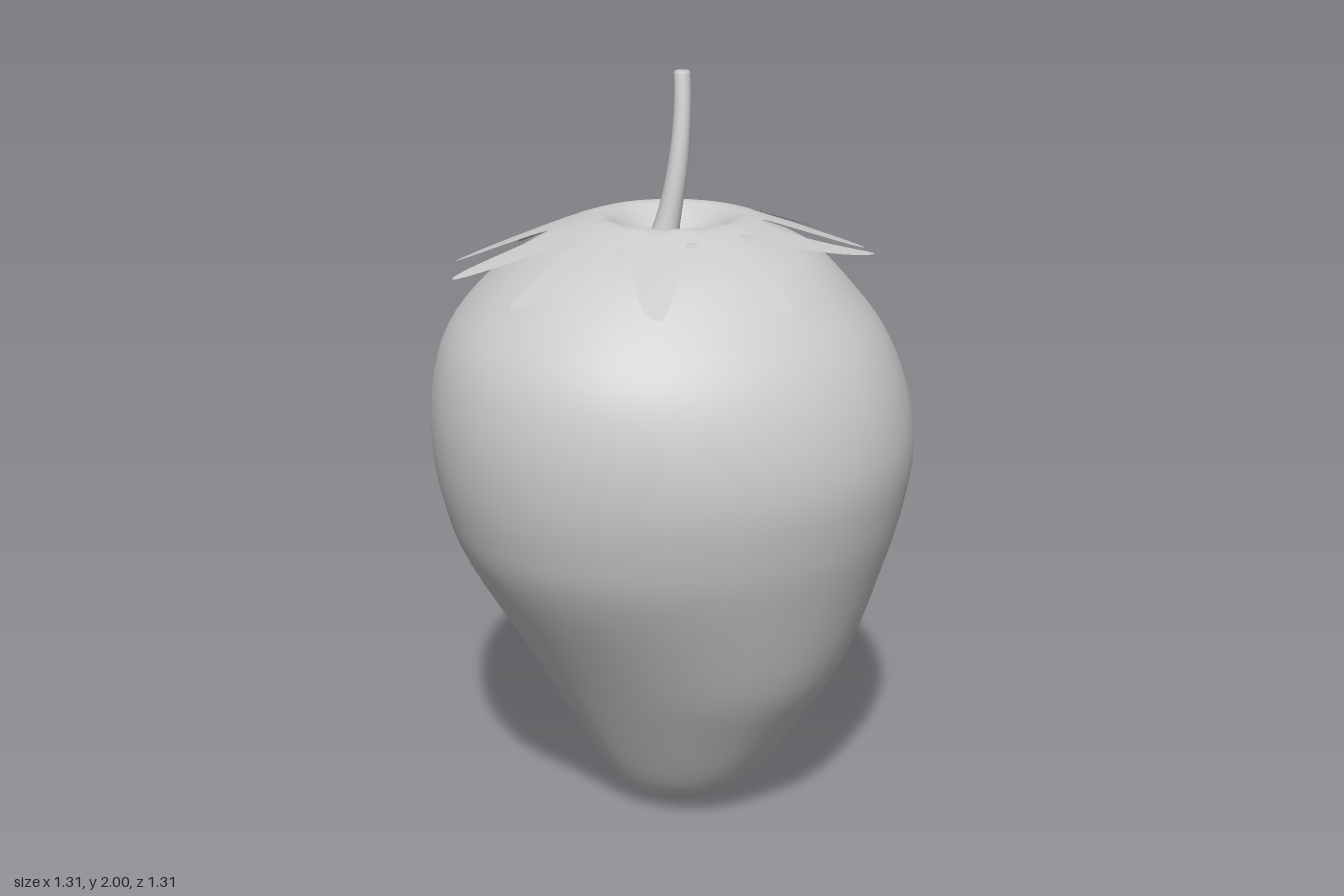
import * as THREE from 'three';
import { mergeVertices } from 'three/addons/utils/BufferGeometryUtils.js';

const material = new THREE.MeshStandardMaterial({ color: 0xcccccc });
const leafMaterial = new THREE.MeshStandardMaterial({ color: 0xcccccc, side: THREE.DoubleSide });
const { lerp, smoothstep, clamp } = THREE.MathUtils;

// Recompute smooth normals without a seam
function smooth(geometry) {
  geometry.deleteAttribute('uv');
  geometry.deleteAttribute('normal');
  const merged = mergeVertices(geometry, 1e-5);
  merged.computeVertexNormals();
  return merged;
}

function latheFrom(points, samples, segments) {
  const curve = new THREE.SplineCurve(points.map(([r, y]) => new THREE.Vector2(r, y)));
  const profile = curve.getPoints(samples);
  profile.forEach((p) => { p.x = Math.max(0, p.x); });
  return new THREE.LatheGeometry(profile, segments);
}

// Fruit: straight flank towards front right, fuller flank towards back left
function fruitGeometry() {
  // height, straight radius, full radius
  const rows = [
    [0, 0, 0], [0.01, 0.075, 0.08], [0.04, 0.135, 0.16], [0.12, 0.2, 0.26],
    [0.3, 0.305, 0.39], [0.48, 0.41, 0.5], [0.75, 0.575, 0.595], [0.9, 0.63, 0.637],
    [1.05, 0.655, 0.658], [1.2, 0.65, 0.635], [1.34, 0.607, 0.575], [1.46, 0.51, 0.48],
    [1.55, 0.39, 0.385], [1.595, 0.27, 0.27], [1.605, 0.2, 0.2], [1.58, 0.13, 0.13],
    [1.54, 0.05, 0.05], [1.53, 0, 0],
  ];
  const geometry = latheFrom(rows.map(([y, a]) => [a, y]), 68, 64);
  const full = latheFrom(rows.map(([y, , b]) => [b, y]), 68, 64).attributes.position;
  const pos = geometry.attributes.position;
  for (let i = 0; i < pos.count; i++) {
    const angle = Math.atan2(full.getX(i), full.getZ(i));
    const w = smoothstep(clamp(0.5 + 0.7 * Math.cos(angle - 0.75 * Math.PI), 0, 1), 0, 1);
    // slightly squared-in diagonals
    const k = 1 - 0.03 * Math.sin(2 * angle) ** 2;
    pos.setXYZ(i,
      lerp(pos.getX(i), full.getX(i), w) * k,
      lerp(pos.getY(i), full.getY(i), w),
      lerp(pos.getZ(i), full.getZ(i), w) * k);
  }
  return smooth(geometry);
}

// Leafy crown: one star-shaped sheet with a central dimple
function crownHeight(r) {
  const d = Math.max(0, r - 0.19);
  return 1.64 - 0.37 * d * d / (d + 0.03) - 0.085 * (1 - smoothstep(r, 0.04, 0.19));
}

function crownGeometry() {
  // leaf tip x, y, z and the notch x, z that follows it
  const leaves = [
    [0, 1.5, 0.6, 0.08, 0.285], [0.35, 1.505, 0.465, 0.2, 0.17],
    [0.525, 1.5, 0.18, 0.25, 0.025], [0.53, 1.585, -0.155, 0.2, -0.12],
    [0.33, 1.53, -0.4, 0.09, -0.22], [0.085, 1.53, -0.525, -0.035, -0.24],
    [-0.19, 1.52, -0.51, -0.17, -0.19], [-0.435, 1.55, -0.325, -0.275, -0.07],
    [-0.575, 1.48, -0.03, -0.295, 0.09], [-0.51, 1.49, 0.285, -0.22, 0.23],
    [-0.26, 1.525, 0.54, -0.07, 0.29],
  ];
  const polar = (x, z) => ({ a: (Math.atan2(x, z) + 2 * Math.PI) % (2 * Math.PI), r: Math.hypot(x, z) });
  const columns = [];
  const steps = 14;
  // rim columns from a leaf tip to a neighbouring notch
  function addSide(tip, notch, tipY, outward) {
    let da = notch.a - tip.a;
    if (da > Math.PI) da -= 2 * Math.PI;
    if (da < -Math.PI) da += 2 * Math.PI;
    const lift = tipY - crownHeight(tip.r);
    for (let i = 0; i < steps; i++) {
      const u = outward ? i / steps : 1 - i / steps;
      const s = smoothstep((1 - u) ** 1.36, 0, 1);
      columns.push({ a: tip.a + da * u, r: lerp(notch.r, tip.r, s), lift, tipR: tip.r });
    }
  }
  leaves.forEach(([x, y, z, nx, nz], i) => {
    const previous = leaves[(i + leaves.length - 1) % leaves.length];
    const tip = polar(x, z);
    addSide(tip, polar(previous[3], previous[4]), y, false);
    addSide(tip, polar(nx, nz), y, true);
  });

  const rings = 22;
  const positions = [];
  const index = [];
  const n = columns.length;
  for (let j = 0; j <= rings; j++) {
    for (const c of columns) {
      const r = c.r * j / rings;
      const bend = Math.max(0, (r - 0.27) / (c.tipR - 0.27)) ** 1.5;
      positions.push(r * Math.sin(c.a), crownHeight(r) + c.lift * bend, r * Math.cos(c.a));
    }
  }
  for (let j = 0; j < rings; j++) {
    for (let i = 0; i < n; i++) {
      const a = j * n + i, b = j * n + (i + 1) % n;
      if (j > 0) index.push(a, b + n, b);
      index.push(a, a + n, b + n);
    }
  }
  const geometry = new THREE.BufferGeometry();
  geometry.setAttribute('position', new THREE.Float32BufferAttribute(positions, 3));
  geometry.setIndex(index);
  return smooth(geometry);
}

// Stem: flared, tapering and leaning back
function stemGeometry() {
  const geometry = latheFrom([
    [0.065, 1.54], [0.042, 1.58], [0.032, 1.64], [0.027, 1.75], [0.023, 1.88], [0.022, 1.995],
  ], 24, 14);
  bendStem(geometry);
  return smooth(geometry);
}

function bendStem(geometry) {
  const pos = geometry.attributes.position;
  for (let i = 0; i < pos.count; i++) {
    const t = (pos.getY(i) - 1.54) / 0.46;
    pos.setX(i, pos.getX(i) - 0.018 + 0.1 * t * (1 - t) + 0.004 * t);
    pos.setZ(i, pos.getZ(i) + 0.03 - 0.088 * t);
  }
}

function stemTipGeometry() {
  const geometry = new THREE.CylinderGeometry(0.019, 0.022, 0.006, 14);
  geometry.translate(0, 1.997, 0);
  bendStem(geometry);
  return geometry;
}

export function createModel() {
  const group = new THREE.Group();
  group.name = 'strawberry';
  const add = (name, geometry, mat) => {
    const mesh = new THREE.Mesh(geometry, mat);
    mesh.name = name;
    group.add(mesh);
  };
  add('fruit', fruitGeometry(), material);
  add('leafCrown', crownGeometry(), leafMaterial);
  add('stem', stemGeometry(), material);
  add('stemTip', stemTipGeometry(), material);
  return group;
}
